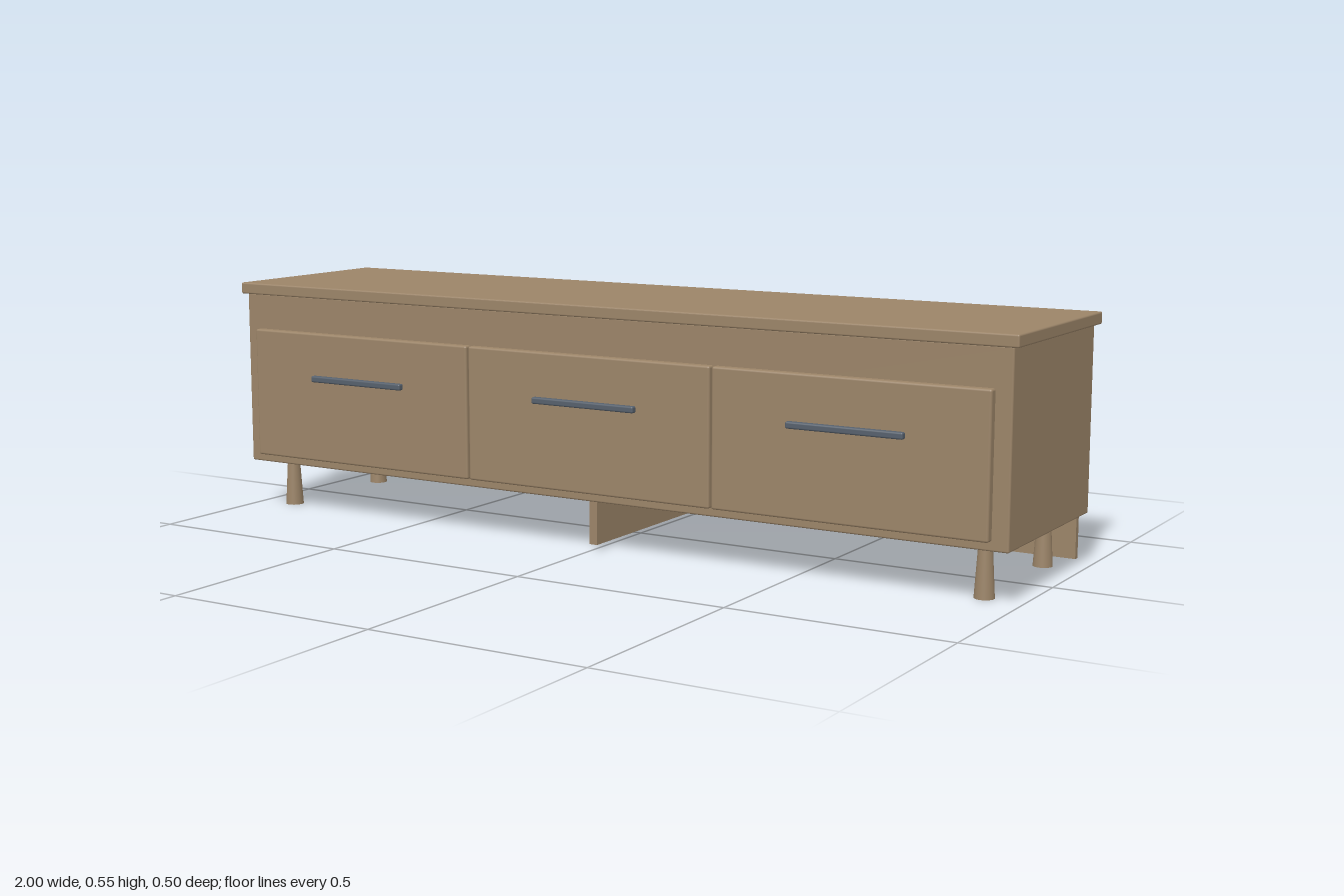
import * as THREE from 'three';
import { RoundedBoxGeometry } from 'three/addons/geometries/RoundedBoxGeometry.js';

export function createModel() {
  const group = new THREE.Group();
  const wood = new THREE.MeshStandardMaterial({ color: 0x9b8468 });
  wood.name = 'brown wood';
  const metal = new THREE.MeshStandardMaterial({ color: 0x56606c });
  metal.name = 'slate metal';

  // Box given by its limits on each axis, with an optional edge radius
  function box(name, [x0, x1], [y0, y1], [z0, z1], radius = 0, material = wood) {
    const size = [x1 - x0, y1 - y0, z1 - z0];
    const geometry = radius
      ? new RoundedBoxGeometry(...size, 3, radius)
      : new THREE.BoxGeometry(...size);
    const mesh = new THREE.Mesh(geometry, material);
    mesh.name = name;
    mesh.position.set((x0 + x1) / 2, (y0 + y1) / 2, (z0 + z1) / 2);
    group.add(mesh);
  }

  // Cabinet and overhanging top
  box('body', [-0.987, 0.987], [0.113, 0.526], [-0.24, 0.22], 0.004);
  box('top', [-1, 1], [0.524, 0.551], [-0.25, 0.229], 0.004);

  // Three drawer fronts, each with a bar handle
  for (const [i, name] of ['right', 'middle', 'left'].entries()) {
    const x = (i - 1) * 0.635;
    box(name + 'Drawer', [x - 0.315, x + 0.315], [0.133, 0.441], [0.215, 0.238], 0.005);
    box(name + 'Handle', [x - 0.133, x + 0.133], [0.326, 0.341], [0.237, 0.252], 0.004, metal);
  }

  // Back plinth and centre support board
  box('backPlinth', [-0.968, 0.968], [0.012, 0.114], [-0.236, -0.222]);
  box('centreSupport', [-0.01, 0.01], [0.012, 0.114], [-0.223, 0.204]);

  // Legs, wider at the foot
  const legShape = new THREE.CylinderGeometry(0.0145, 0.0215, 0.114, 32);
  for (const x of [-0.912, 0.912]) {
    for (const z of [-0.175, 0.155]) {
      const leg = new THREE.Mesh(legShape, wood);
      leg.name = (z > 0 ? 'front' : 'back') + (x > 0 ? 'Left' : 'Right') + 'Leg';
      leg.position.set(x, 0.057, z);
      group.add(leg);
    }
  }
  return group;
}
